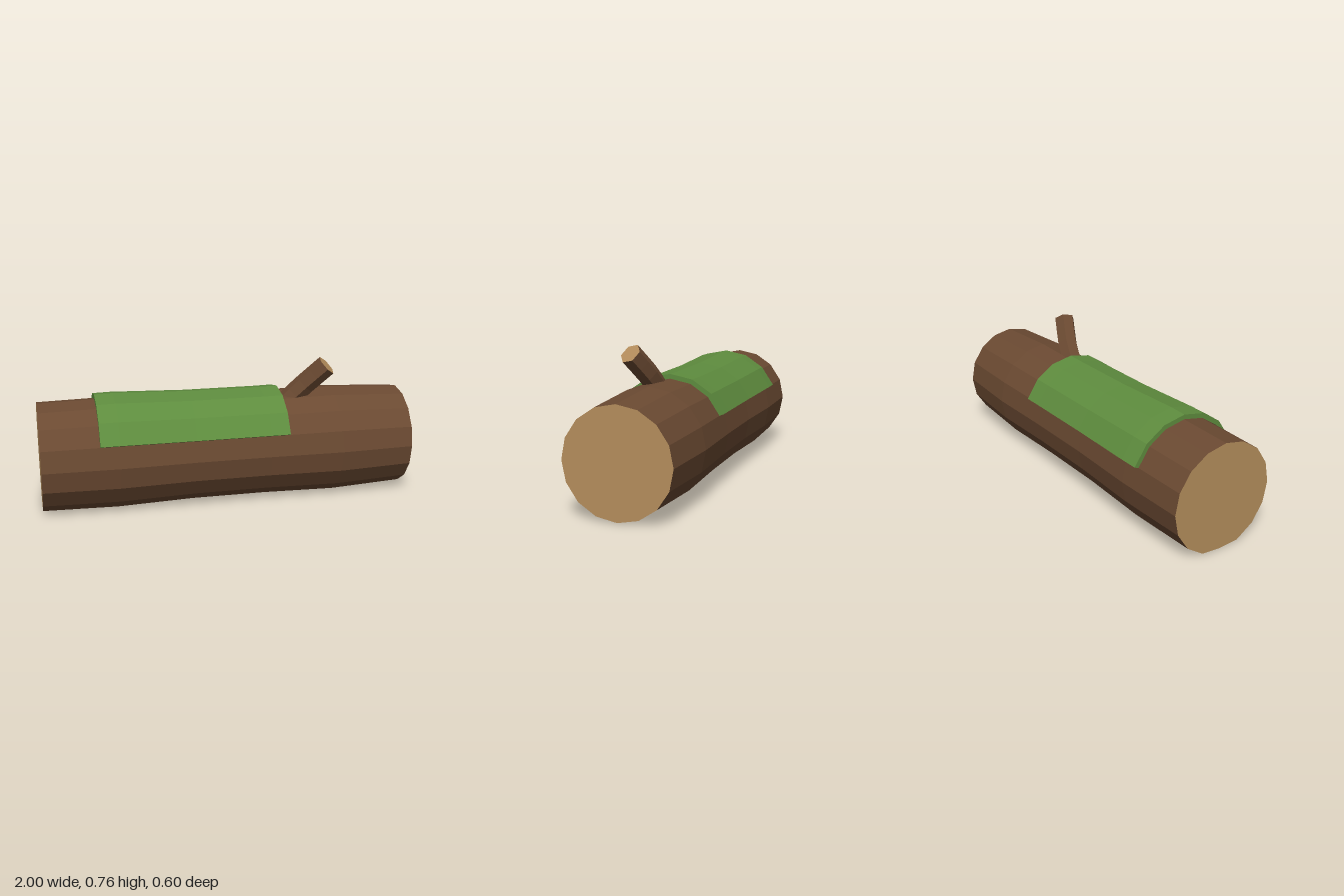
import * as THREE from 'three';

const AXIS_Y = 0.277;
const SIDES = 16;
// log radius along its length: [x, radius]
const PROFILE = [[-1, 0.29], [-0.6, 0.298], [-0.2, 0.286], [0.2, 0.286], [0.6, 0.294], [1, 0.275]];

const radiusAt = (x) => {
  const i = Math.max(1, PROFILE.findIndex(([px]) => px >= x));
  const [x0, r0] = PROFILE[i - 1], [x1, r1] = PROFILE[i];
  return THREE.MathUtils.mapLinear(x, x0, x1, r0, r1);
};

// point around the log axis; the underside is flattened on the ground
const around = (x, r, step) => {
  const a = (step / SIDES) * Math.PI * 2;
  return new THREE.Vector3(x, Math.max(0, AXIS_Y + r * Math.sin(a)), r * Math.cos(a));
};

const quad = (a, b, c, d) => [a, b, c, a, c, d];

// skin closed loops of points into triangles
function skin(rings) {
  const tris = [];
  for (let i = 0; i < rings.length - 1; i++) {
    const p = rings[i], q = rings[i + 1];
    p.forEach((_, j) => {
      const k = (j + 1) % p.length;
      tris.push(...quad(p[j], q[j], q[k], p[k]));
    });
  }
  return tris;
}

// flat lid over a loop
function lid(ring, flip) {
  const centre = ring.reduce((s, p) => s.add(p), new THREE.Vector3()).divideScalar(ring.length);
  return ring.flatMap((p, j) => {
    const n = ring[(j + 1) % ring.length];
    return flip ? [centre, n, p] : [centre, p, n];
  });
}

function makeMesh(name, tris, color) {
  const geometry = new THREE.BufferGeometry().setFromPoints(tris);
  geometry.computeVertexNormals();
  const mesh = new THREE.Mesh(geometry, new THREE.MeshStandardMaterial({ color, flatShading: true }));
  mesh.name = name;
  return mesh;
}

export function createModel() {
  const group = new THREE.Group();
  group.name = 'mossyLog';
  const BARK = 0x6b4a32, WOOD = 0xb58e5c, MOSS = 0x5e8c3e;

  // trunk and cut ends
  const rings = PROFILE.map(([x, r]) => Array.from({ length: SIDES }, (_, j) => around(x, r, j)));
  group.add(makeMesh('trunk', skin(rings), BARK));
  group.add(makeMesh('leftCutEnd', lid(rings[rings.length - 1], true), WOOD));
  group.add(makeMesh('rightCutEnd', lid(rings[0], false), WOOD));

  // moss blanket: a thick arc over the top, following the trunk
  const steps = [1, 2, 3, 4, 5, 6, 7];
  const mossRings = [-0.7, -0.6, -0.2, 0.2, 0.3].map((x) => {
    const r = radiusAt(x);
    const outer = steps.map((s) => around(x, r + 0.026, s));
    const inner = steps.map((s) => around(x, r + 0.001, s)).reverse();
    return [...outer, ...inner];
  });
  const mossTris = skin(mossRings);
  const first = mossRings[0], last = mossRings[mossRings.length - 1];
  for (let j = 0; j < 6; j++) {
    mossTris.push(...quad(first[j], first[j + 1], first[12 - j], first[13 - j]));
    mossTris.push(...quad(last[j + 1], last[j], last[13 - j], last[12 - j]));
  }
  group.add(makeMesh('moss', mossTris, MOSS));

  // bent branch stub with a cut tip
  const curve = new THREE.CatmullRomCurve3([
    new THREE.Vector3(0.33, 0.5, 0.045),
    new THREE.Vector3(0.42, 0.59, 0.062),
    new THREE.Vector3(0.545, 0.72, 0.118),
  ]);
  const tube = new THREE.TubeGeometry(curve, 4, 0.058, 6, false);
  const branch = new THREE.Mesh(tube, new THREE.MeshStandardMaterial({ color: BARK, flatShading: true }));
  branch.name = 'branch';
  const pos = tube.attributes.position;
  const tip = Array.from({ length: 6 }, (_, j) => new THREE.Vector3().fromBufferAttribute(pos, pos.count - 7 + j));
  group.add(branch, makeMesh('branchTip', lid(tip, true), WOOD));

  return group;
}
